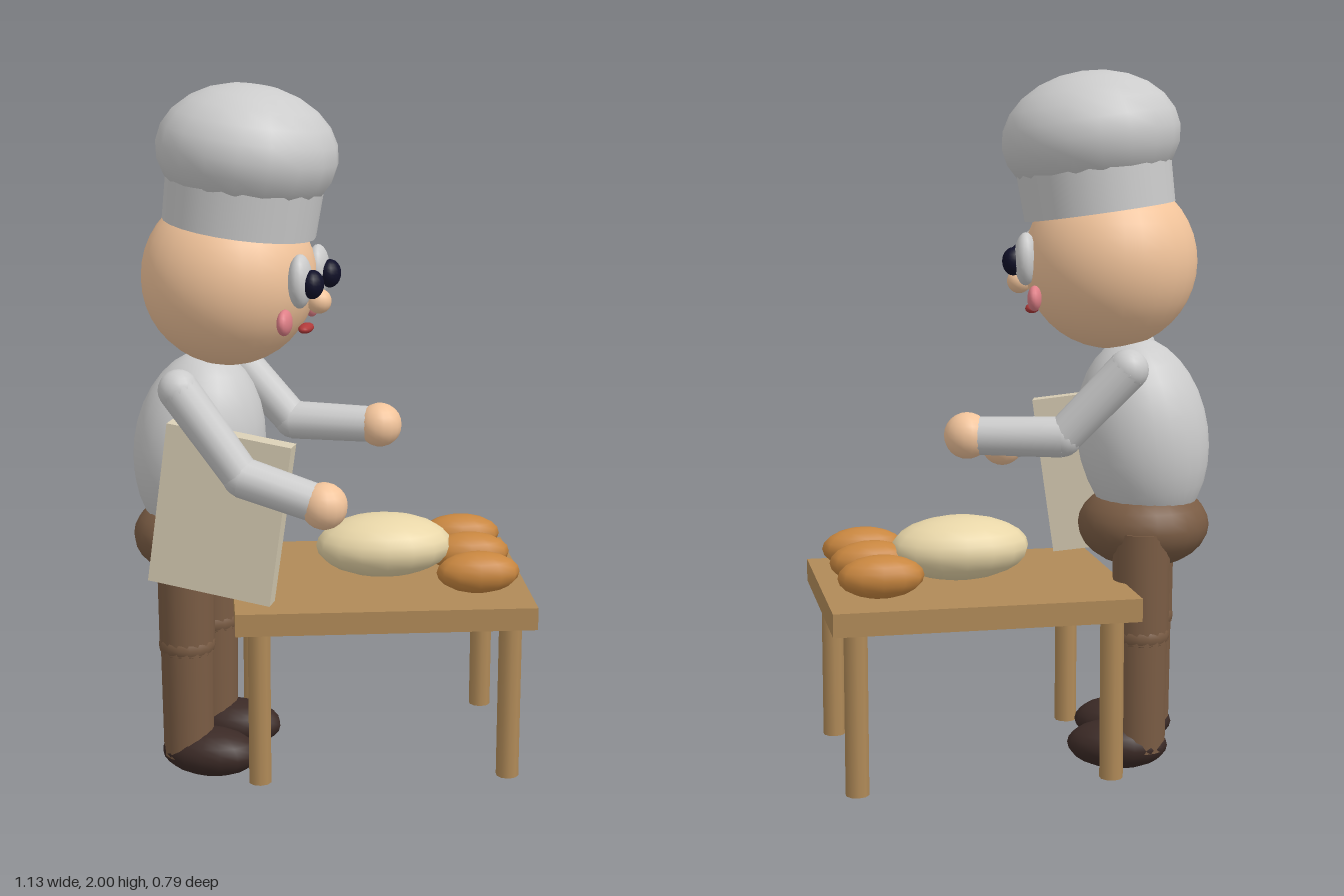
import * as THREE from 'three';

const mat = (color) => new THREE.MeshStandardMaterial({ color });
const GREY = mat(0xcccccc), SKIN = mat(0xf2c49b), TROUSER = mat(0x7a5c44), SHOE = mat(0x3b2a26);
const WOOD = mat(0xb08a58), CRUST = mat(0xc8863f), DOUGH = mat(0xe8d6a8), APRON = mat(0xd8cdb4);
const PUPIL = mat(0x101028), BLUSH = mat(0xe08088), LIP = mat(0xb03a3a);

const TURN = -0.31; // the baker faces +x, turned a little towards +z
const LEAN = -0.14; // forward lean of torso, apron and hat

export function createModel() {
  const model = new THREE.Group();
  model.name = 'bakerAtTable';

  const add = (parent, name, geometry, material, pos) => {
    const mesh = new THREE.Mesh(geometry, material);
    mesh.name = name;
    mesh.position.set(...pos);
    parent.add(mesh);
    return mesh;
  };
  const group = (name, parent = model) => {
    const g = new THREE.Group();
    g.name = name;
    parent.add(g);
    return g;
  };
  // Ellipsoid with radii along forward, up and sideways
  const ball = (parent, name, material, pos, radii, turn = TURN, lean = 0, w = 16, h = 12) => {
    const mesh = add(parent, name, new THREE.SphereGeometry(1, w, h), material, pos);
    mesh.scale.set(...radii);
    mesh.rotation.set(0, turn, lean, 'YXZ');
    return mesh;
  };
  // Tapered cylinder between two points
  const limb = (parent, name, material, a, b, ra, rb, sides = 14) => {
    const from = new THREE.Vector3(...a), dir = new THREE.Vector3(...b).sub(from);
    const mesh = add(parent, name, new THREE.CylinderGeometry(rb, ra, dir.length(), sides), material,
      from.clone().addScaledVector(dir, 0.5).toArray());
    mesh.quaternion.setFromUnitVectors(new THREE.Vector3(0, 1, 0), dir.normalize());
    return mesh;
  };

  // Table
  const table = group('table');
  add(table, 'tableTop', new THREE.BoxGeometry(0.85, 0.065, 0.685), WOOD, [0.145, 0.528, -0.057]);
  for (const x of [-0.212, 0.502]) for (const z of [0.225, -0.33])
    add(table, 'tableLeg', new THREE.CylinderGeometry(0.033, 0.033, 0.465, 10), WOOD, [x, 0.268, z]);

  // Dough and bread on the table
  ball(model, 'dough', DOUGH, [0.167, 0.652, -0.057], [0.2, 0.092, 0.134], 0);
  for (const z of [-0.25, -0.058, 0.135])
    ball(model, 'loaf', CRUST, [0.42, 0.622, z], [0.12, 0.06, 0.066], 0, 0, 12, 10);

  // Body and apron
  const baker = group('baker');
  ball(baker, 'torso', GREY, [-0.37, 0.96, -0.055], [0.19, 0.285, 0.19], TURN, LEAN, 24, 16);
  ball(baker, 'hips', TROUSER, [-0.375, 0.7, -0.055], [0.19, 0.125, 0.19], TURN, 0, 24, 14);
  const apron = add(baker, 'apron', new THREE.BoxGeometry(0.36, 0.465, 0.055), APRON, [-0.313, 0.825, 0.178]);
  apron.rotation.set(0, TURN, LEAN, 'YXZ');

  // Legs and shoes
  for (const [x, z] of [[-0.415, 0.055], [-0.34, -0.165]]) {
    const leg = group('leg', baker);
    limb(leg, 'thigh', TROUSER, [x, 0.38, z], [x, 0.7, z], 0.08, 0.083, 16);
    ball(leg, 'knee', TROUSER, [x, 0.4, z], [0.083, 0.06, 0.083]);
    limb(leg, 'shin', TROUSER, [x, 0.06, z], [x, 0.4, z], 0.073, 0.077, 16);
    ball(leg, 'shoe', SHOE, [x + 0.062, 0.07, z + 0.02], [0.145, 0.07, 0.09]);
  }

  // Arms: shoulder, elbow, hand
  const arms = {
    rightArm: [[-0.425, 1.185, 0.21], [-0.255, 0.95, 0.265], [-0.035, 0.883, 0.33]],
    leftArm: [[-0.26, 1.18, -0.297], [-0.09, 0.99, -0.24], [0.163, 0.99, -0.158]],
  };
  for (const [name, [shoulder, elbow, hand]] of Object.entries(arms)) {
    const arm = group(name, baker);
    ball(arm, 'shoulder', GREY, shoulder, [0.057, 0.057, 0.057]);
    limb(arm, 'upperArm', GREY, shoulder, elbow, 0.057, 0.053);
    ball(arm, 'elbow', GREY, elbow, [0.055, 0.055, 0.055]);
    limb(arm, 'forearm', GREY, elbow, hand, 0.057, 0.053);
    ball(arm, 'hand', SKIN, hand, [0.065, 0.065, 0.065]);
  }

  // Head, with the face laid out in a turned frame: x forward, z to the baker's right
  const head = group('head', baker);
  head.position.set(-0.28, 1.46, -0.02);
  head.rotation.y = TURN;
  ball(head, 'skull', SKIN, [0, 0, 0], [0.248, 0.25, 0.248], 0, 0, 28, 20);
  for (const s of [-1, 1]) {
    ball(head, 'eye', GREY, [0.233, 0.01, s * 0.1], [0.033, 0.075, 0.054], 0);
    ball(head, 'pupil', PUPIL, [0.268, 0.003, s * 0.1], [0.032, 0.04, 0.04], 0);
    ball(head, 'cheek', BLUSH, [0.203, -0.097, s * 0.153], [0.02, 0.036, 0.045], 0);
  }
  ball(head, 'nose', SKIN, [0.262, -0.06, 0], [0.035, 0.035, 0.035], 0);
  ball(head, 'mouth', LIP, [0.224, -0.138, 0], [0.02, 0.014, 0.045], 0);

  // Tilted hat
  const hat = group('hat', baker);
  hat.position.set(-0.25, 1.6, -0.01);
  hat.rotation.set(0, TURN, LEAN, 'YXZ');
  add(hat, 'hatBand', new THREE.CylinderGeometry(0.223, 0.217, 0.16, 24), GREY, [0, 0.08, 0]);
  ball(hat, 'hatPuff', GREY, [-0.003, 0.212, 0], [0.256, 0.186, 0.256], 0, 0, 18, 12);

  return model;
}
